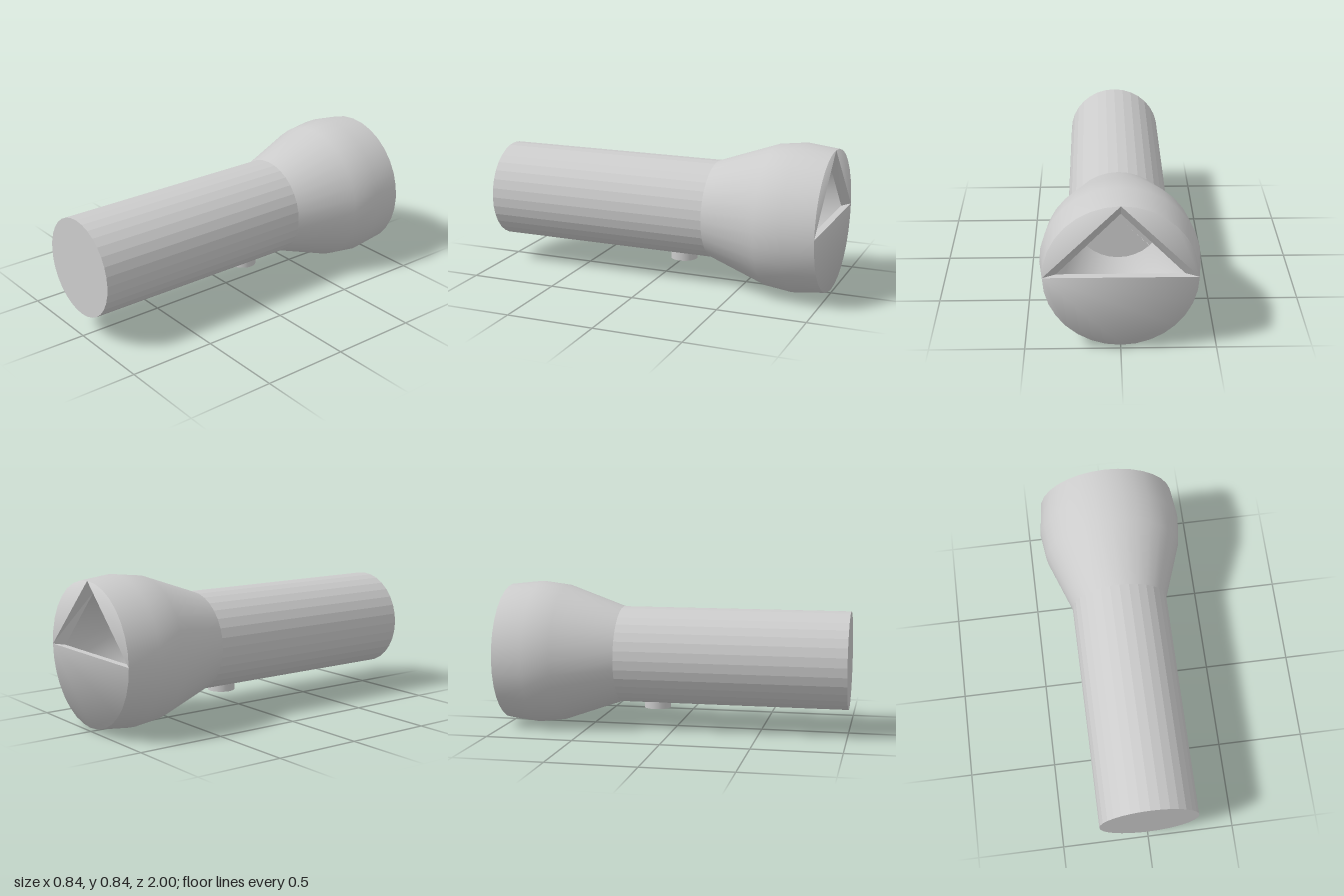
import * as THREE from 'three';

const SIDES = 32, RIM = 0.4, BACK = -1, AXIS_Y = 0.42;

export function createModel() {
  const model = new THREE.Group();
  const smooth = new THREE.MeshStandardMaterial({ color: 0xcccccc });
  const faceted = new THREE.MeshStandardMaterial({ color: 0xcccccc, flatShading: true });
  const thin = new THREE.MeshStandardMaterial({ color: 0xcccccc, side: THREE.DoubleSide });

  function add(parent, name, geometry, material) {
    const mesh = new THREE.Mesh(geometry, material);
    mesh.name = name;
    parent.add(mesh);
    return mesh;
  }

  // Surface of revolution about the z axis from [radius, z] pairs
  function turned(profile) {
    const points = profile.map(([r, z]) => new THREE.Vector2(r, -z));
    return new THREE.LatheGeometry(points, SIDES).rotateX(-Math.PI / 2);
  }

  const torch = new THREE.Group();
  torch.name = 'torch';
  torch.position.y = AXIS_Y;
  model.add(torch);

  // Handle: straight faceted tube with a flat front end
  const handle = new THREE.CylinderGeometry(0.28, 0.28, 1.32, SIDES).rotateX(Math.PI / 2);
  add(torch, 'handle', handle, faceted).position.z = 0.34;

  // Flared head
  add(torch, 'head', turned([[0.28, -0.32], [0.4, -0.66], [0.42, -0.82], [RIM, BACK]]), smooth);

  // Hollow inside of the head, running backwards so that it faces inwards
  add(torch, 'headInside', turned([[0.37, -0.96], [0.385, -0.82], [0.365, -0.67], [0.25, -0.32], [0, -0.32]]), thin);

  // End cap: three circle segments that leave a triangular opening
  const cap = new THREE.Group();
  cap.name = 'endCap';
  torch.add(cap);
  const arcs = [[0, 0.5], [0.5, 1], [1, 2]];
  for (const [from, to] of arcs) {
    const steps = (to - from) * SIDES / 2;
    const points = [];
    for (let i = 0; i <= steps; i++) {
      const a = Math.PI * (from + (to - from) * i / steps);
      points.push(new THREE.Vector2(RIM * Math.cos(a), RIM * Math.sin(a)));
    }
    const geometry = new THREE.ShapeGeometry(new THREE.Shape(points)).rotateY(Math.PI);
    // Normals lean outwards so the cap blends softly into the head
    const p = geometry.attributes.position, n = geometry.attributes.normal;
    for (let i = 0; i < p.count; i++) {
      const v = new THREE.Vector3(p.getX(i) / RIM, p.getY(i) / RIM, -1).normalize();
      n.setXYZ(i, v.x, v.y, v.z);
    }
    add(cap, 'capSegment', geometry, smooth).position.z = BACK;
  }

  // Thin bevelled edge around the triangular opening
  const outer = [[RIM, 0], [0, RIM], [-RIM, 0]];
  const inner = [[0.33, 0], [0, 0.34], [-0.33, 0]];
  const corners = [];
  for (let i = 0; i < 3; i++) {
    const j = (i + 1) % 3;
    const a = [...outer[i], BACK], b = [...outer[j], BACK];
    const c = [...inner[j], BACK + 0.04], d = [...inner[i], BACK + 0.04];
    corners.push(...a, ...c, ...b, ...a, ...d, ...c);
  }
  const edge = new THREE.BufferGeometry();
  edge.setAttribute('position', new THREE.Float32BufferAttribute(corners, 3));
  edge.computeVertexNormals();
  add(cap, 'openingEdge', edge, thin);

  // Round switch button under the handle
  const button = new THREE.CylinderGeometry(0.078, 0.078, 0.08, 24);
  add(model, 'button', button, smooth).position.set(0.01, 0.147, -0.12);

  return model;
}
